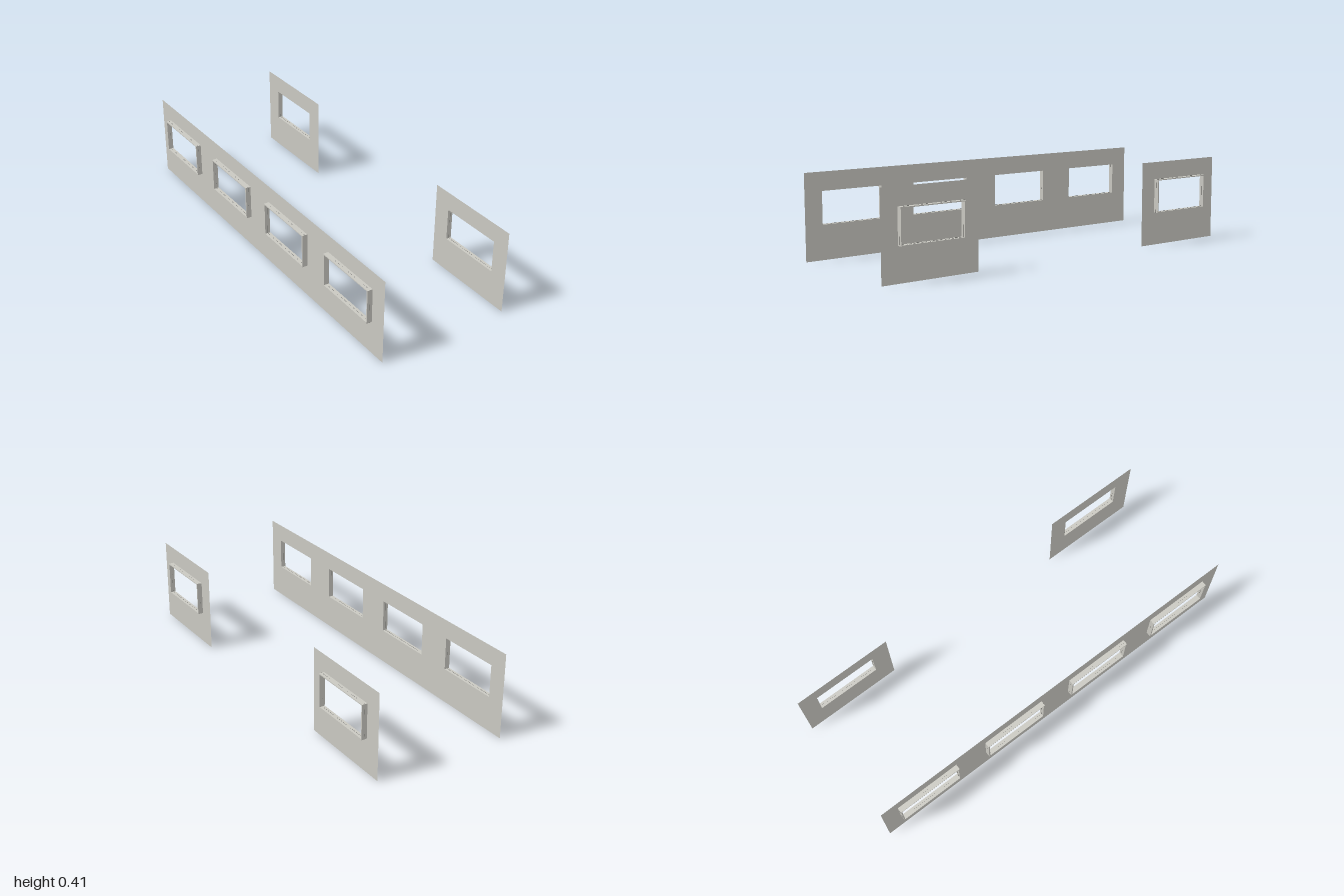
import * as THREE from 'three';

const WALL_X = 0.33, HEIGHT = 0.415, DEPTH = 0.026;
const WIN_Y = 0.246, HALF_W = 0.16, HALF_H = 0.079;

// Rectangle outline, centred on (0, cy), in the plane of the wall
function rectPoints(w, h, cy) {
  return [[-w, cy - h], [w, cy - h], [w, cy + h], [-w, cy + h]].map(([a, b]) => new THREE.Vector2(a, b));
}

// Irregular rectangle outline for the broken glass
function jaggedPoints(w, h, cy, amount, seed) {
  const corners = rectPoints(w, h, cy);
  const points = [];
  corners.forEach((c, i) => {
    const next = corners[(i + 1) % 4];
    const steps = i % 2 ? 5 : 9;
    for (let k = 0; k < steps; k++) {
      const s = 1 + amount * Math.sin(seed + i * 2.7 + k * 4.1);
      const p = c.clone().lerp(next, k / steps);
      points.push(new THREE.Vector2(p.x * s, cy + (p.y - cy) * s));
    }
  });
  return points;
}

function holed(outer, inner) {
  const shape = new THREE.Shape(outer);
  shape.holes.push(new THREE.Path(inner));
  return shape;
}

export function createModel() {
  const model = new THREE.Group();
  const plaster = new THREE.MeshStandardMaterial({ color: 0xc9c8c1, side: THREE.DoubleSide });
  plaster.name = 'pale grey';
  const dark = new THREE.MeshStandardMaterial({ color: 0x6a6a67, side: THREE.DoubleSide });
  dark.name = 'dark grey';

  const opening = () => rectPoints(HALF_W, HALF_H, WIN_Y);
  const wallGeo = new THREE.ShapeGeometry(holed(rectPoints(0.25, HEIGHT / 2, HEIGHT / 2), opening()));
  const frameGeo = new THREE.ExtrudeGeometry(
    holed(rectPoints(HALF_W + 0.006, HALF_H + 0.0045, WIN_Y), opening()),
    { depth: DEPTH, bevelEnabled: false });

  function addPanel(side, z, index) {
    const panel = new THREE.Group();
    panel.name = (side > 0 ? 'leftPanel' : 'rightPanel') + index;
    const add = (name, geo, mat, out) => {
      const mesh = new THREE.Mesh(geo, mat);
      mesh.name = name;
      mesh.position.z = out;
      panel.add(mesh);
    };
    add('wall', wallGeo, plaster, 0);
    add('windowFrame', frameGeo, plaster, 0);
    // Thin jagged remains halfway through the window reveal
    const shards = new THREE.ShapeGeometry(holed(
      jaggedPoints(HALF_W + 0.006, HALF_H + 0.005, WIN_Y, 0.012, index),
      jaggedPoints(HALF_W - 0.001, HALF_H - 0.001, WIN_Y, 0.01, index * 1.7)));
    add('windowShards', shards, dark, DEPTH / 2);
    // Local +z points out of the building
    panel.rotation.y = side * Math.PI / 2;
    panel.position.set(side * WALL_X, 0, z);
    model.add(panel);
  }

  // Full row on one side, end panels only on the other
  [-0.75, -0.25, 0.25, 0.75].forEach((z, i) => addPanel(-1, z, i + 1));
  [-0.75, 0.75].forEach((z, i) => addPanel(1, z, i + 1));
  return model;
}
